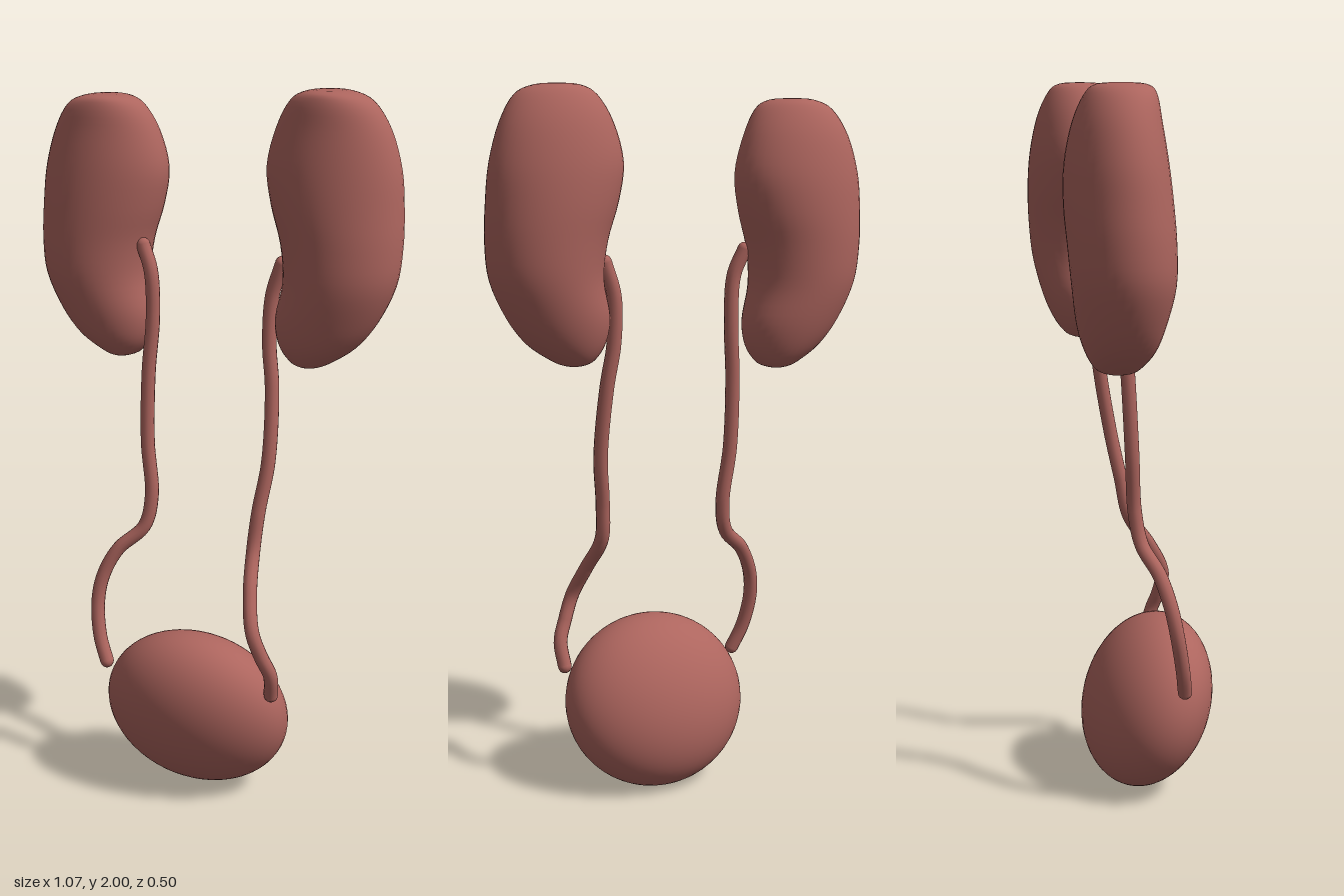
import * as THREE from 'three';

const material = new THREE.MeshStandardMaterial({ color: 0xad655e, roughness: 0.8 });

function mesh(name, geometry) {
  const m = new THREE.Mesh(geometry, material);
  m.name = name;
  return m;
}

// Kidney cross-sections from top to bottom: y, inner x, outer x, back z, front z
const KIDNEY = [
  [2.0, 0.33, 0.33, -0.035, -0.035],
  [1.995, 0.27, 0.39, -0.10, 0.03],
  [1.97, 0.225, 0.445, -0.13, 0.05],
  [1.9, 0.185, 0.49, -0.16, 0.06],
  [1.8, 0.16, 0.52, -0.18, 0.075],
  [1.7, 0.175, 0.53, -0.185, 0.085],
  [1.6, 0.205, 0.532, -0.18, 0.09],
  [1.5, 0.215, 0.52, -0.17, 0.09],
  [1.4, 0.195, 0.475, -0.15, 0.075],
  [1.33, 0.205, 0.42, -0.125, 0.055],
  [1.285, 0.235, 0.355, -0.095, 0.025],
  [1.27, 0.265, 0.32, -0.065, 0],
  [1.267, 0.293, 0.293, -0.033, -0.033],
];

// Loft smooth elliptical rings through the cross-sections; side is +1 or -1
function kidneyGeometry(side) {
  const rings = 48, segs = 40;
  const smooth = (pick) =>
    new THREE.CatmullRomCurve3(KIDNEY.map((r) => new THREE.Vector3(...pick(r))), false, 'catmullrom', 0.5);
  const widths = smooth((r) => [r[0], r[1], r[2]]);
  const depths = smooth((r) => [r[0], r[3], r[4]]);
  const positions = [], index = [];
  for (let i = 0; i <= rings; i++) {
    const w = widths.getPoint(i / rings), d = depths.getPoint(i / rings);
    for (let j = 0; j < segs; j++) {
      const a = (j / segs) * Math.PI * 2;
      const x = (w.y + w.z) / 2 + ((w.z - w.y) / 2) * Math.cos(a);
      const z = (d.y + d.z) / 2 + ((d.z - d.y) / 2) * Math.sin(a);
      positions.push(side * x, w.x, z);
      if (i === rings) continue;
      const k = (j + 1) % segs;
      const p = i * segs + j, q = i * segs + k, r = p + segs, s = q + segs;
      if (side > 0) index.push(p, q, r, q, s, r);
      else index.push(p, r, q, q, r, s);
    }
  }
  const g = new THREE.BufferGeometry();
  g.setAttribute('position', new THREE.Float32BufferAttribute(positions, 3));
  g.setIndex(index);
  g.computeVertexNormals();
  return g;
}

// Thin winding tube with rounded ends
function ureter(name, points) {
  const group = new THREE.Group();
  group.name = name;
  const radius = 0.02;
  const path = new THREE.CatmullRomCurve3(points.map((p) => new THREE.Vector3(...p)));
  group.add(mesh('ureterTube', new THREE.TubeGeometry(path, 90, radius, 12)));
  for (const t of [0, 1]) {
    const end = mesh('ureterEnd', new THREE.SphereGeometry(radius, 12, 8));
    end.position.copy(path.getPoint(t));
    group.add(end);
  }
  return group;
}

// Egg-shaped bladder, leaning slightly so the front sits higher
function bladderGeometry() {
  const g = new THREE.SphereGeometry(1, 48, 32);
  const p = g.attributes.position;
  for (let i = 0; i < p.count; i++) {
    const x = p.getX(i), y = p.getY(i), z = p.getZ(i);
    p.setXYZ(i, 0.005 + 0.273 * x, 0.245 + 0.242 * y + 0.035 * z, 0.07 + 0.18 * z + 0.02 * y);
  }
  g.computeBoundingBox();
  g.translate(0, -g.boundingBox.min.y, 0);
  // keep the pole and seam normals smooth by shaping them from the ellipsoid
  const m = new THREE.Matrix3().set(0.273, 0, 0, 0, 0.242, 0.035, 0, 0.02, 0.18);
  g.attributes.normal.applyNormalMatrix(m.invert().transpose());
  return g;
}

export function createModel() {
  const model = new THREE.Group();
  model.name = 'urinarySystem';

  model.add(mesh('leftKidney', kidneyGeometry(1)));
  const rightKidney = mesh('rightKidney', kidneyGeometry(-1));
  rightKidney.position.set(0, -0.035, -0.06);
  model.add(rightKidney);

  model.add(ureter('leftUreter', [
    [0.205, 1.54, -0.045], [0.178, 1.45, -0.045], [0.175, 1.32, -0.035], [0.19, 1.2, -0.02],
    [0.195, 1.0, 0.015], [0.178, 0.86, 0.042], [0.172, 0.75, 0.065], [0.19, 0.65, 0.135],
    [0.215, 0.56, 0.182], [0.24, 0.49, 0.178], [0.262, 0.43, 0.162], [0.258, 0.36, 0.142],
  ]));
  model.add(ureter('rightUreter', [
    [-0.21, 1.56, -0.06], [-0.183, 1.49, -0.05], [-0.177, 1.36, -0.047], [-0.188, 1.2, -0.038],
    [-0.188, 1.0, -0.027], [-0.172, 0.84, -0.015], [-0.19, 0.75, 0.0], [-0.26, 0.68, 0.03],
    [-0.3, 0.6, 0.05], [-0.312, 0.52, 0.065], [-0.298, 0.42, 0.085], [-0.27, 0.35, 0.1],
  ]));

  model.add(mesh('bladder', bladderGeometry()));
  return model;
}
